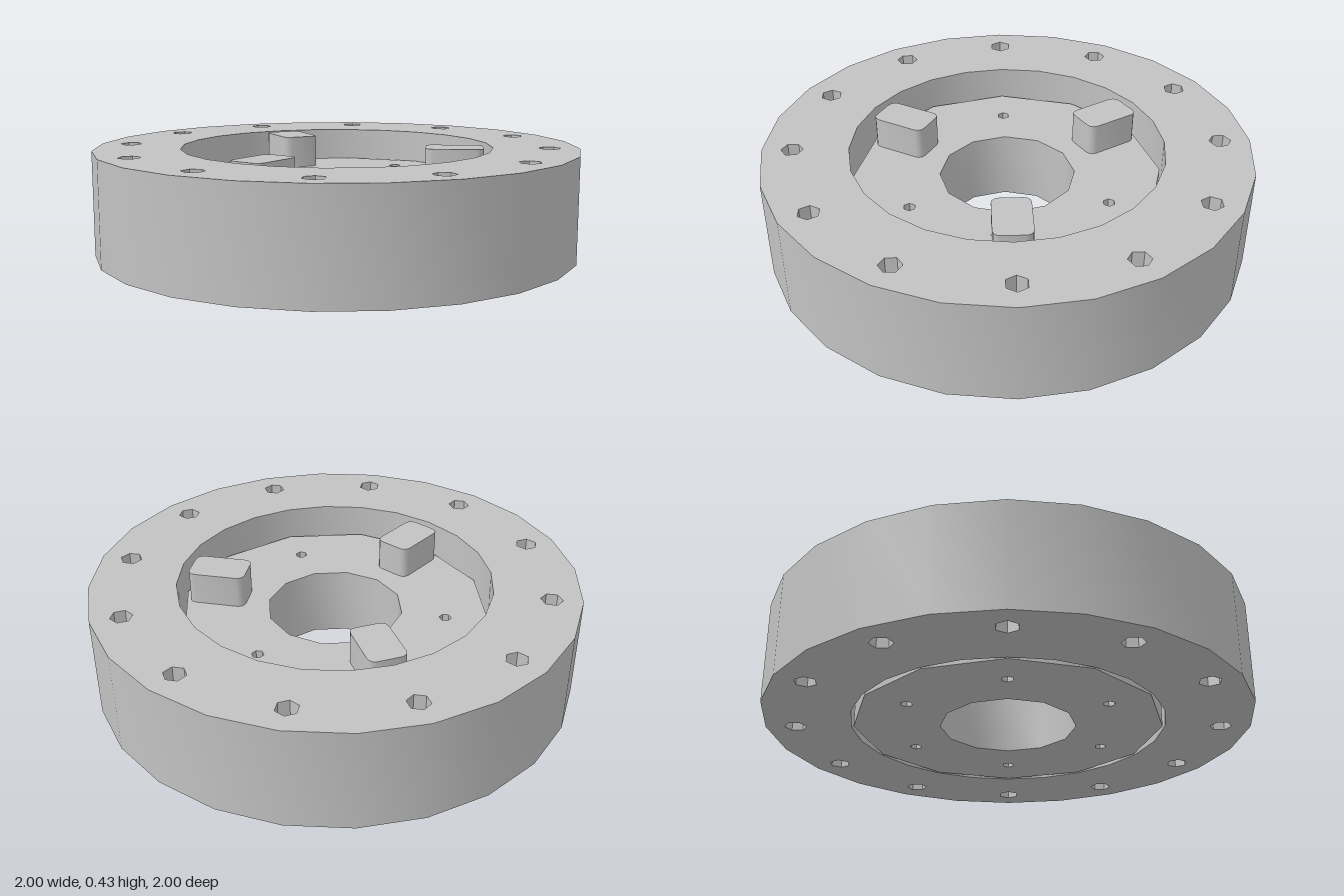
import * as THREE from 'three';
import { toCreasedNormals } from 'three/addons/utils/BufferGeometryUtils.js';

const HEIGHT = 0.43, DISC_TOP = 0.295;

// Points of a regular polygon, first corner at the given angle
function polygon(radius, sides, cx = 0, cy = 0, start = 0) {
  return Array.from({ length: sides }, (_, i) => {
    const a = start + (i / sides) * Math.PI * 2;
    return new THREE.Vector2(cx + radius * Math.cos(a), cy + radius * Math.sin(a));
  });
}

// Hexagonal holes spaced evenly on a circle, a corner pointing outwards
function holeCircle(count, circleRadius, holeRadius) {
  return Array.from({ length: count }, (_, i) => {
    const a = (i / count) * Math.PI * 2;
    return polygon(holeRadius, 6, circleRadius * Math.cos(a), circleRadius * Math.sin(a), a);
  });
}

// Upright plate with smooth curved walls and sharp rims
function plate(name, outline, holes, height, material) {
  const shape = new THREE.Shape(outline);
  shape.holes = holes.map((points) => new THREE.Path(points));
  const geometry = new THREE.ExtrudeGeometry(shape, { depth: height, bevelEnabled: false });
  geometry.rotateX(-Math.PI / 2);
  const mesh = new THREE.Mesh(toCreasedNormals(geometry, 0.6), material);
  mesh.name = name;
  return mesh;
}

// Rectangle with rounded corners
function roundedRect(x0, x1, halfWidth, r) {
  const points = [];
  const corners = [[x1 - r, halfWidth - r], [x0 + r, halfWidth - r], [x0 + r, r - halfWidth], [x1 - r, r - halfWidth]];
  corners.forEach(([cx, cy], k) => {
    for (let i = 0; i <= 3; i++) {
      const a = (k + i / 3) * Math.PI / 2;
      points.push(new THREE.Vector2(cx + r * Math.cos(a), cy + r * Math.sin(a)));
    }
  });
  return points;
}

export function createModel() {
  const model = new THREE.Group();
  model.name = 'flangeCoupling';
  const metal = new THREE.MeshStandardMaterial({ color: 0xc2c2c2 });
  metal.name = 'grey metal';

  // Outer ring with twelve bolt holes
  model.add(plate('outerRing', polygon(1, 24),
    [polygon(0.646, 24), ...holeCircle(12, 0.876, 0.045)], HEIGHT, metal));

  // Recessed disc with centre bore and six pin holes
  model.add(plate('innerDisc', polygon(0.637, 12),
    [polygon(0.28, 12), ...holeCircle(6, 0.46, 0.025)], DISC_TOP, metal));

  // Three drive lugs standing on the disc
  for (let i = 0; i < 3; i++) {
    const lug = plate('driveLug' + (i + 1), roundedRect(0.37, 0.607, 0.078, 0.03), [], HEIGHT - DISC_TOP, metal);
    lug.position.y = DISC_TOP;
    lug.rotation.y = (i / 3) * Math.PI * 2;
    model.add(lug);
  }
  return model;
}
